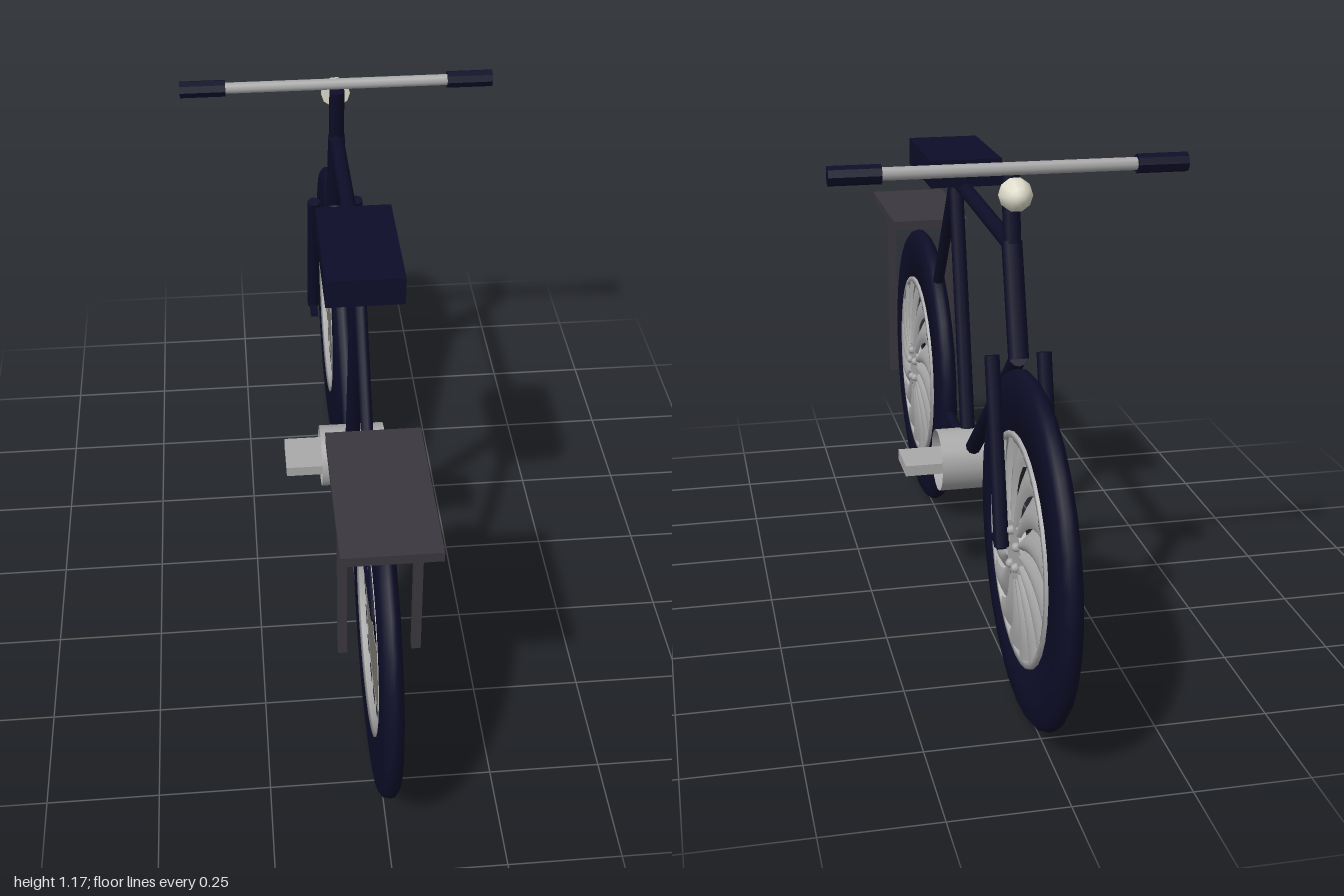
import * as THREE from 'three';
import { mergeGeometries } from 'three/addons/utils/BufferGeometryUtils.js';

const mat = (name, color, extra = {}) => {
  const m = new THREE.MeshStandardMaterial({ color, ...extra });
  m.name = name;
  return m;
};

export function createModel() {
  const navy = mat('navy', 0x0d0d28);
  const metal = mat('metal', 0xa9a9a9, { side: THREE.DoubleSide });
  const charcoal = mat('charcoal', 0x3a383e);
  const discGrey = mat('discGrey', 0x77736a);
  const lampCream = mat('lampCream', 0xdedccb);
  const bike = new THREE.Group();
  bike.name = 'bicycle';

  const add = (name, geo, material, parent = bike, x = 0, y = 0, z = 0) => {
    const m = new THREE.Mesh(geo, material);
    m.name = name;
    m.position.set(x, y, z);
    parent.add(m);
    return m;
  };
  const box = (name, material, w, h, d, x, y, z) =>
    add(name, new THREE.BoxGeometry(w, h, d), material, bike, x, y, z);

  // Tube in the side plane between [z, y] points
  const tube = (name, a, b, radius, x = 0) => {
    const dz = b[0] - a[0], dy = b[1] - a[1];
    const geo = new THREE.CylinderGeometry(radius, radius, Math.hypot(dz, dy), 10);
    const m = add(name, geo, navy, bike, x, (a[1] + b[1]) / 2, (a[0] + b[0]) / 2);
    m.rotation.x = Math.atan2(dz, dy);
  };

  // Flat ring on the wheel, facing +y (up) or -y
  const ring = (inner, outer, h, up, start = 0, len = Math.PI * 2, seg = 32) =>
    new THREE.RingGeometry(inner, outer, seg, 1, start, len)
      .rotateX(up ? -Math.PI / 2 : Math.PI / 2).translate(0, h, 0);

  const lathe = (pts) =>
    new THREE.LatheGeometry(pts.map(p => new THREE.Vector2(...p)), 32);

  // One curved turbine blade of the wheel cover
  const BLADES = 16;
  const blade = (i) => {
    const g = new THREE.PlaneGeometry(1, 1, 6, 6);
    const p = g.attributes.position;
    for (let k = 0; k < p.count; k++) {
      const u = p.getX(k) + 0.5, v = p.getY(k) + 0.5;
      const r = 0.062 + 0.175 * v;
      const t = (i + u) * Math.PI * 2 / BLADES + 0.3 * v * v;
      const h = 0.015 + 0.021 * Math.sin(u * Math.PI * 0.8) * (1 - 0.4 * v * v);
      p.setXYZ(k, r * Math.cos(t), h, r * Math.sin(t));
    }
    g.computeVertexNormals();
    return g;
  };

  // Wheels: built around the y axis, then laid on the axle
  const wheel = (name, z) => {
    const w = new THREE.Group();
    w.name = name;
    w.position.set(0, 0.38, z);
    w.rotation.z = -Math.PI / 2;
    bike.add(w);
    add('tyre', lathe([[0.245, -0.02], [0.33, -0.023], [0.365, -0.02], [0.378, -0.01],
      [0.38, 0], [0.378, 0.01], [0.365, 0.02], [0.33, 0.023], [0.245, 0.02], [0.245, -0.02]]), navy, w);
    add('rim', lathe([[0.234, -0.018], [0.25, -0.022], [0.25, 0.026], [0.234, 0.026],
      [0.234, -0.018]]), metal, w);
    add('blades', mergeGeometries(Array.from({ length: BLADES }, (_, i) => blade(i))), metal, w);
    add('hubCap', new THREE.CylinderGeometry(0.064, 0.07, 0.016, 24), metal, w, 0, 0.024, 0);
    for (let i = 0; i < 5; i++) {
      const t = i * Math.PI * 2 / 5 + 0.4;
      add('lugBolt', new THREE.SphereGeometry(0.011, 8, 6), metal, w,
        0.042 * Math.cos(t), 0.034, 0.042 * Math.sin(t));
    }
    // Inner side: disc, hub hole and slotted outer ring
    add('backDisc', ring(0.055, 0.2, -0.005, false), discGrey, w);
    add('hubHole', ring(0, 0.055, -0.004, false), navy, w);
    add('backRing', ring(0.2, 0.236, -0.004, false), metal, w);
    const step = Math.PI * 2 / 20;
    add('backSlots', mergeGeometries(Array.from({ length: 20 }, (_, i) =>
      ring(0.204, 0.23, -0.006, false, i * step, step * 0.65, 3))), charcoal, w);
  };
  wheel('rearWheel', 0.62);
  wheel('frontWheel', -0.62);

  // Frame
  const crank = [0, 0.345], seatTop = [0.165, 1.01], head = [-0.45, 0.99], axle = [0.62, 0.385];
  tube('topTube', seatTop, head, 0.018);
  tube('seatTube', seatTop, crank, 0.018);
  tube('downTube', crank, [-0.51, 0.765], 0.019);
  tube('seatStay', seatTop, axle, 0.014);
  tube('chainStay', crank, axle, 0.013);
  tube('headTube', [-0.443, 1.0], [-0.515, 0.765], 0.022);
  tube('stem', [-0.425, 1.135], [-0.45, 0.98], 0.019);

  // Saddle
  box('saddle', navy, 0.17, 0.065, 0.3, 0, 1.047, 0.18);

  // Mirrored parts
  for (const s of [-1, 1]) {
    tube('forkLeg', [-0.51, 0.775], [-0.612, 0.385], 0.016, s * 0.056);
    box('forkTip', navy, 0.02, 0.012, 0.06, s * 0.056, 0.386, -0.585);
    box('rackLeg', charcoal, 0.02, 0.455, 0.02, s * 0.08, 0.58, 0.675);
    const grip = add('grip', new THREE.CylinderGeometry(0.021, 0.021, 0.11, 8).rotateZ(Math.PI / 2),
      navy, bike, s * 0.325, 1.15, -0.43);
    grip.geometry = grip.geometry.toNonIndexed();
    grip.geometry.computeVertexNormals();
  }

  // Handlebar and lamp
  add('handlebar', new THREE.CylinderGeometry(0.014, 0.014, 0.56, 8).rotateZ(Math.PI / 2),
    metal, bike, 0, 1.15, -0.43);
  const lamp = new THREE.SphereGeometry(0.036, 10, 5, 0, Math.PI * 2, 0, Math.PI / 2)
    .scale(1, 1.5, 1).rotateX(-Math.PI / 2);
  add('headlamp', lamp, lampCream, bike, 0, 1.105, -0.469);
  add('headlampBack', new THREE.CircleGeometry(0.036, 10), lampCream, bike, 0, 1.105, -0.469);

  // Luggage rack
  box('rackPlate', charcoal, 0.2, 0.022, 0.38, 0, 0.812, 0.697);

  // Crank drum, open at the ends, and pedals
  add('crankDrum', new THREE.CylinderGeometry(0.076, 0.076, 0.16, 20, 1, true).rotateZ(Math.PI / 2),
    metal, bike, 0, 0.34, 0);
  box('pedals', metal, 0.335, 0.026, 0.115, 0, 0.34, 0);

  return bike;
}
